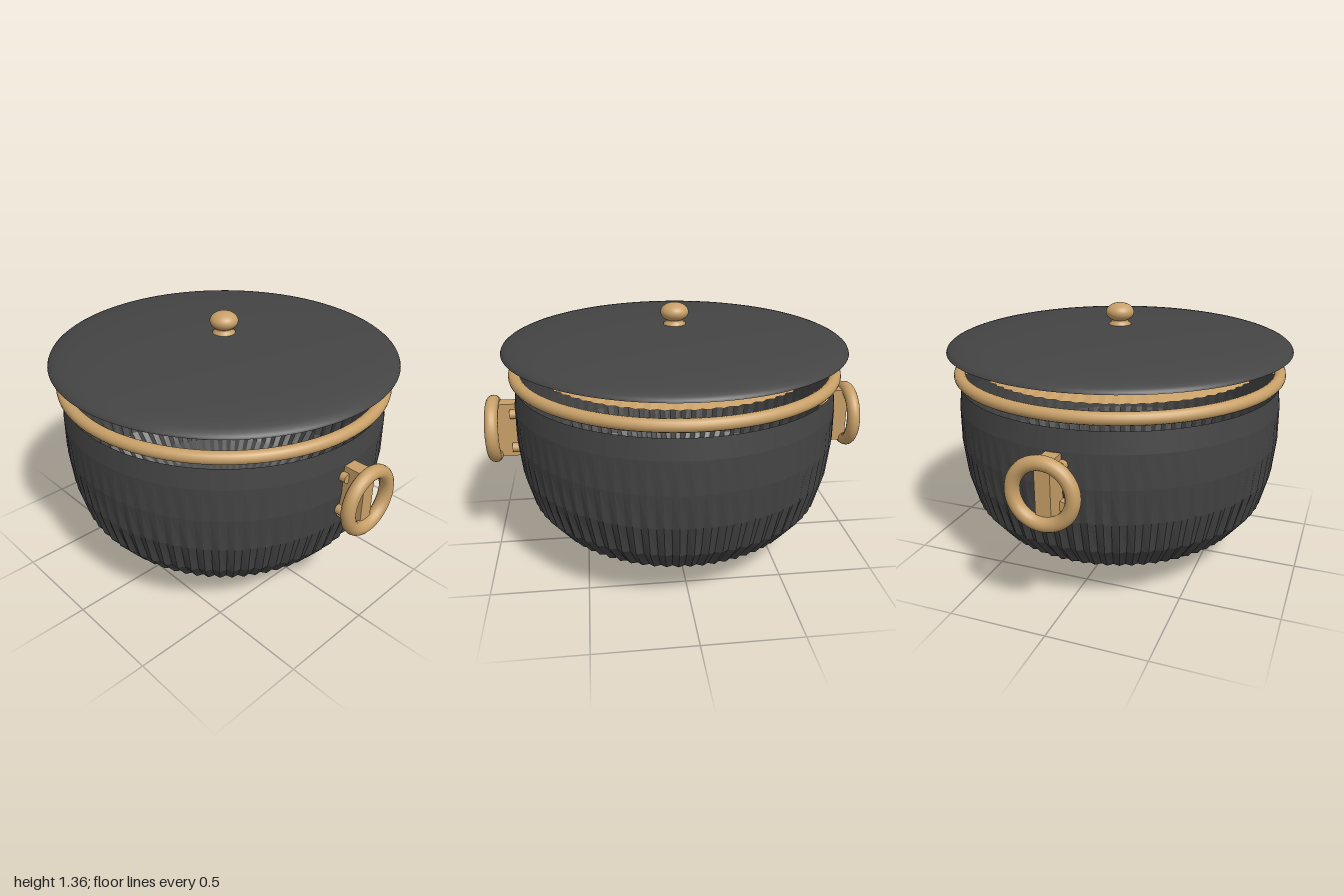
import * as THREE from 'three';

const iron = new THREE.MeshStandardMaterial({ color: 0x444444, side: THREE.DoubleSide });
const ironFlat = new THREE.MeshStandardMaterial({ color: 0x444444, side: THREE.DoubleSide, flatShading: true });
const wood = new THREE.MeshStandardMaterial({ color: 0xc8a068 });
const woodFlat = new THREE.MeshStandardMaterial({ color: 0xc8a068, side: THREE.DoubleSide, flatShading: true });

const RIBS = 72;

function add(parent, name, geometry, material, x = 0, y = 0, z = 0) {
  const mesh = new THREE.Mesh(geometry, material);
  mesh.name = name;
  mesh.position.set(x, y, z);
  parent.add(mesh);
  return mesh;
}

// Revolves [radius, y] points
function lathe(points, segments) {
  return new THREE.LatheGeometry(points.map(([r, y]) => new THREE.Vector2(r, y)), segments);
}

// Revolves [radius, y, ribDepth] rows, pulling every second column inward
function ribbedLathe(rows) {
  const geometry = lathe(rows, RIBS * 2);
  const pos = geometry.attributes.position;
  for (let i = 0; i < pos.count; i++) {
    const column = Math.floor(i / rows.length);
    const [r, , depth] = rows[i % rows.length];
    if (r === 0 || column % 2 === 0) continue;
    const k = (r - depth) / r;
    pos.setX(i, pos.getX(i) * k);
    pos.setZ(i, pos.getZ(i) * k);
  }
  geometry.computeVertexNormals();
  return geometry;
}

// Side handle on the +x side: mounting plate, four bolts and a ring
function createHandle() {
  const handle = new THREE.Group();
  add(handle, 'handlePlate', new THREE.BoxGeometry(0.135, 0.295, 0.075), wood, 0.895, 0.705, 0);
  const ring = add(handle, 'handleRing', new THREE.TorusGeometry(0.145, 0.035, 16, 48), wood, 0.965, 0.705, 0);
  ring.rotation.y = Math.PI / 2;
  for (const y of [0.61, 0.8]) {
    for (const z of [-0.045, 0.045]) {
      const bolt = add(handle, 'handleBolt', new THREE.CylinderGeometry(0.025, 0.025, 0.08, 12), wood, 0.835, y, z);
      bolt.rotation.z = Math.PI / 2;
    }
  }
  return handle;
}

export function createModel() {
  const pot = new THREE.Group();
  pot.name = 'lidded pot';

  // Open bowl, its ribs fading out toward the mouth
  add(pot, 'bowl', ribbedLathe([
    [0, 0, 0], [0.42, 0.093, 0.006], [0.55, 0.14, 0.012], [0.68, 0.21, 0.018],
    [0.785, 0.34, 0.016], [0.83, 0.51, 0.01], [0.848, 0.69, 0.004],
    [0.846, 0.86, 0], [0.832, 0.963, 0],
  ]), ironFlat);

  // Rim ring hovering above the mouth
  const rim = add(pot, 'rimRing', new THREE.TorusGeometry(0.834, 0.031, 16, 96), wood, 0, 1.022, 0);
  rim.rotation.x = Math.PI / 2;

  // Shallow pleated dome under the lid
  const dome = [];
  for (let i = 0; i <= 12; i++) {
    const r = 0.75 * (1 - i / 12);
    const y = 1.055 + 0.045 * Math.sqrt(1 - (r / 0.75) ** 2) + (i % 2 ? 0.004 : 0);
    dome.push([i === 12 ? 0 : r, y, 0.014 * (r / 0.75)]);
  }
  add(pot, 'innerDome', ribbedLathe(dome), woodFlat);

  // Lid shell: a flattened cap
  const lid = [];
  for (let i = 0; i <= 16; i++) {
    const a = (i / 16) * Math.PI / 2;
    lid.push([i === 16 ? 0 : 0.893 * Math.cos(a), 1.145 + 0.103 * Math.sin(a)]);
  }
  add(pot, 'lid', lathe(lid, 96), iron);

  // Knob with a flared foot
  add(pot, 'knobFoot', lathe([
    [0.058, 1.235], [0.058, 1.252], [0.045, 1.26], [0.042, 1.272], [0.05, 1.285], [0, 1.29],
  ], 32), wood);
  const knob = add(pot, 'knob', new THREE.SphereGeometry(0.073, 32, 20), wood, 0, 1.311, 0);
  knob.scale.y = 0.66;

  // Handles on both sides
  for (const [name, turn] of [['leftHandle', 0], ['rightHandle', Math.PI]]) {
    const handle = createHandle();
    handle.name = name;
    handle.rotation.y = turn;
    pot.add(handle);
  }
  return pot;
}
